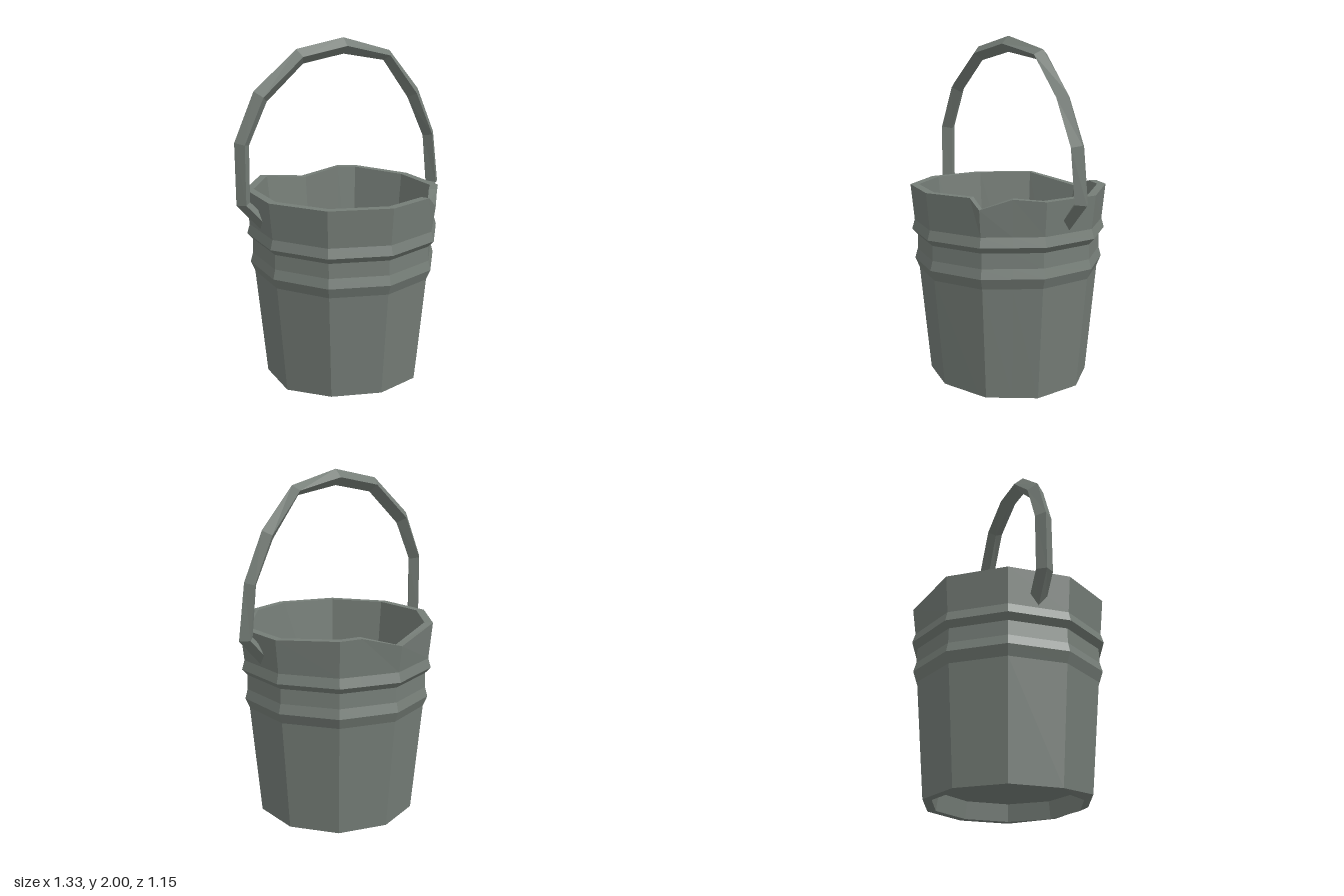
import * as THREE from 'three';

const SIDES = 10;

// Skin a grid of points: rows run along the form, each row is a closed ring.
function skin(rows) {
  const n = rows[0].length, pos = [], index = [];
  rows.forEach(row => row.forEach(p => pos.push(...p)));
  for (let i = 0; i < rows.length - 1; i++) {
    for (let j = 0; j < n; j++) {
      const k = (j + 1) % n;
      const a = i * n + j, b = i * n + k, c = a + n, d = b + n;
      index.push(a, c, d, a, d, b);
    }
  }
  const g = new THREE.BufferGeometry();
  g.setAttribute('position', new THREE.Float32BufferAttribute(pos, 3));
  g.setIndex(index);
  const flat = g.toNonIndexed();
  flat.computeVertexNormals();
  return flat;
}

// Point on a ten-sided outline; t counts corners from the front towards the left.
function outline(t, r) {
  const corner = k => [Math.sin(k * 2 * Math.PI / SIDES) * r, Math.cos(k * 2 * Math.PI / SIDES) * r];
  const k = Math.floor(t), f = t - k, a = corner(k), b = corner(k + 1);
  return [a[0] + (b[0] - a[0]) * f, a[1] + (b[1] - a[1]) * f];
}

// Columns round the bucket: [corner position, rim height, height of the worn foot]
const COLUMNS = [
  [0, 1.15, 0.025], [0.83, 1.15, 0.012], [1, 1.09, 0.01], [1.5, 1.145, 0.005],
  [2, 1.13, 0], [3, 1.13, 0], [4, 1.145, 0], [4.35, 1.15, 0], [5, 1.09, 0],
  [6, 1.15, 0], [7, 1.15, 0], [8, 1.15, 0], [9, 1.15, 0.025],
];

// Rings from a profile of [radius, height]; 'rim' and 'foot' take the column's height.
function rings(profile) {
  return skin(profile.map(([r, y]) => COLUMNS.map(([t, rim, foot]) => {
    const [x, z] = outline(t, r);
    return [x, y === 'rim' ? rim : y === 'foot' ? foot : y, z];
  })));
}

export function createModel() {
  const model = new THREE.Group();
  model.name = 'bucket';
  const grey = new THREE.MeshStandardMaterial({ color: 0x757d77, flatShading: true });
  grey.name = 'greyGreen';

  const add = (name, geometry) => {
    const mesh = new THREE.Mesh(geometry, grey);
    mesh.name = name;
    model.add(mesh);
  };

  // Inside floor and wall
  add('inside', rings([[0, 0.12], [0.42, 0.12], [0.525, 'rim']]));

  // Chipped rim
  add('rim', rings([[0.525, 'rim'], [0.575, 'rim']]));

  // Outer wall with two raised hoops
  add('outerWall', rings([
    [0.575, 'rim'], [0.554, 0.94], [0.57, 0.885], [0.538, 0.85],
    [0.54, 0.765], [0.555, 0.71], [0.53, 0.65], [0.47, 'foot'],
  ]));

  // Foot ring and recessed underside
  add('underside', rings([[0.47, 'foot'], [0.42, 0], [0.405, 0.1], [0, 0.1]]));

  // Handle stations: outer x, y and inner x, y of the diamond section
  const stations = [
    [-0.52, 0.945, -0.5, 1.03], [-0.665, 1.11, -0.585, 1.12], [-0.665, 1.46, -0.58, 1.44],
    [-0.545, 1.73, -0.47, 1.67], [-0.29, 1.945, -0.25, 1.865], [0, 2, 0, 1.91],
    [0.3, 1.92, 0.26, 1.865], [0.5, 1.69, 0.43, 1.64], [0.62, 1.42, 0.545, 1.4],
    [0.662, 1.105, 0.575, 1.115], [0.52, 0.945, 0.5, 1.03],
  ];
  const section = ([ox, oy, ix, iy]) => {
    const mx = (ox + ix) / 2, my = (oy + iy) / 2;
    return [[ox, oy, 0], [mx, my, -0.048], [ix, iy, 0], [mx, my, 0.048]];
  };
  const cap = ([ox, oy, ix, iy]) => Array(4).fill([(ox + ix) / 2, (oy + iy) / 2, 0]);
  add('handle', skin([cap(stations[0]), ...stations.map(section), cap(stations.at(-1))]));

  return model;
}
